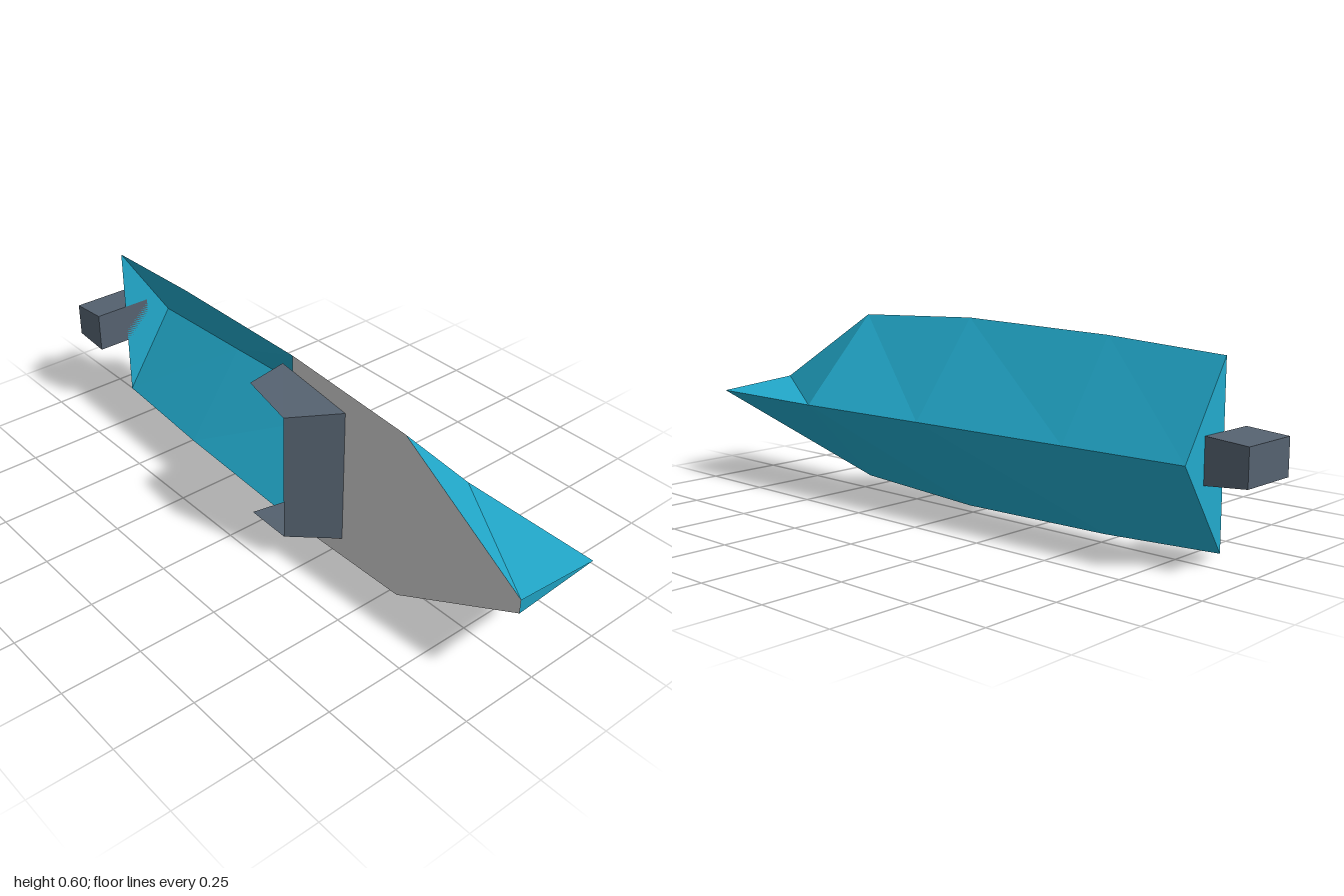
import * as THREE from 'three';

const MID = 0.2975; // height of the keel line

// hull stations: x, half width, gunwale z, keel z
const stations = [
  [-0.87, 0.264, 0.03, -0.145],
  [-0.48, 0.286, 0.041, -0.158],
  [0.065, 0.2975, 0.055, -0.178],
  [0.545, 0.276, 0.066, -0.199],
  [1.0, 0.022, 0.088, -0.196],
];

function material(name, color) {
  const m = new THREE.MeshStandardMaterial({ color, flatShading: true, side: THREE.DoubleSide });
  m.name = name;
  return m;
}

// polygons given as corner lists, fanned into triangles
function facets(name, polygons, mat) {
  const pos = [];
  for (const p of polygons)
    for (let i = 1; i < p.length - 1; i++) pos.push(...p[0], ...p[i], ...p[i + 1]);
  const geo = new THREE.BufferGeometry();
  geo.setAttribute('position', new THREE.Float32BufferAttribute(pos, 3));
  geo.computeVertexNormals();
  const mesh = new THREE.Mesh(geo, mat);
  mesh.name = name;
  return mesh;
}

export function createModel() {
  const group = new THREE.Group();
  group.name = 'motorboat';
  const hullBlue = material('hullBlue', 0x22aacc);
  const deckGrey = material('deckGrey', 0xcccccc);
  const slate = material('slate', 0x556270);

  const rim = ([x, w, z], side) => [x, MID + side * w, z];
  const keel = ([x, , , k]) => [x, MID, k];

  // V-shaped hull sides, open at the bow end
  for (const side of [1, -1]) {
    const panels = [];
    for (let i = 0; i < stations.length - 1; i++) {
      const a = stations[i], b = stations[i + 1];
      const quad = [keel(a), rim(a, side), rim(b, side), keel(b)];
      panels.push(side > 0 ? quad : quad.reverse());
    }
    group.add(facets(side > 0 ? 'upperHullSide' : 'lowerHullSide', panels, hullBlue));
  }

  // transom closing the stern
  const stern = stations[0];
  group.add(facets('transom', [[rim(stern, 1), keel(stern), rim(stern, -1)]], hullBlue));

  // foredeck
  const deck = [];
  for (let i = 2; i < 4; i++) {
    const a = stations[i], b = stations[i + 1];
    deck.push([rim(a, -1), rim(b, -1), rim(b, 1), rim(a, 1)]);
  }
  group.add(facets('foredeck', deck, deckGrey));

  // windshield: sloped front pane and two side panes
  const pane = (s) => [
    [0.02, MID + s * 0.252, 0.055],
    [0.02, MID + s * 0.232, 0.176],
    [0.197, MID + s * 0.209, 0.198],
    [0.303, MID + s * 0.221, 0.062],
  ];
  const up = pane(1), low = pane(-1);
  group.add(facets('windshield', [
    up,
    [...low].reverse(),
    [low[2], low[3], up[3], up[2]],
  ], slate));

  // outboard motor, tapering aft
  const geo = new THREE.BoxGeometry(0.13, 0.13, 0.198);
  const p = geo.attributes.position;
  for (let i = 0; i < p.count; i++) if (p.getX(i) < 0) p.setY(i, p.getY(i) * 0.84);
  geo.computeVertexNormals();
  const motor = new THREE.Mesh(geo, slate);
  motor.name = 'outboardMotor';
  motor.position.set(-0.935, MID, 0.04);
  group.add(motor);

  return group;
}
